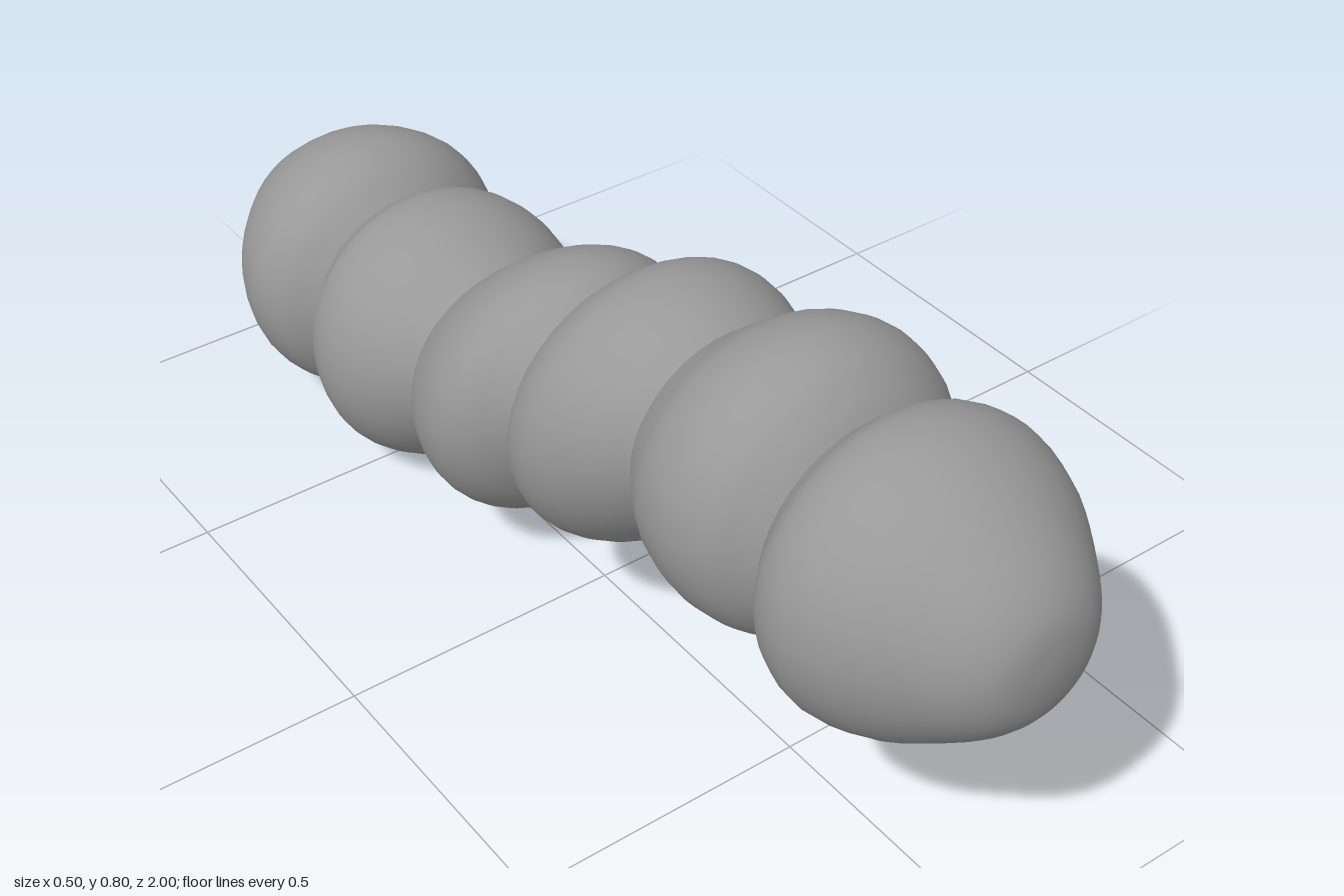
import * as THREE from 'three';
import { mergeVertices } from 'three/addons/utils/BufferGeometryUtils.js';

const SIDES = 40;
const RINGS = 24;

// Smooth bulb through upright elliptical rings: [z, top, bottom, half width], front to back
function bulbGeometry(stations) {
  const heights = new THREE.CatmullRomCurve3(
    stations.map(([z, top, bottom]) => new THREE.Vector3(z, top, bottom)), false, 'catmullrom');
  const widths = new THREE.CatmullRomCurve3(
    stations.map(([z, , , w]) => new THREE.Vector3(z, w, 0)), false, 'catmullrom');
  const positions = [];
  const index = [];
  for (let i = 0; i <= RINGS; i++) {
    const h = heights.getPoint(i / RINGS);
    const w = Math.max(0, widths.getPoint(i / RINGS).y);
    const middle = (h.y + h.z) / 2;
    const half = (h.y - h.z) / 2;
    for (let j = 0; j < SIDES; j++) {
      const a = (j / SIDES) * Math.PI * 2;
      positions.push(Math.cos(a) * w, middle + Math.sin(a) * half, h.x);
      if (i === RINGS) continue;
      const k = (j + 1) % SIDES;
      const p = i * SIDES + j, q = i * SIDES + k;
      index.push(p, p + SIDES, q, q, p + SIDES, q + SIDES);
    }
  }
  let geometry = new THREE.BufferGeometry();
  geometry.setAttribute('position', new THREE.Float32BufferAttribute(positions, 3));
  geometry.setIndex(index);
  geometry = mergeVertices(geometry, 1e-5);
  geometry.computeVertexNormals();
  return geometry;
}

export function createModel() {
  const group = new THREE.Group();
  group.name = 'segmentedBody';
  const grey = new THREE.MeshStandardMaterial({ color: 0x999999 });
  grey.name = 'grey';

  const segments = {
    // rounded front end
    frontSegment: [
      [1, 0.55, 0.55, 0], [0.99, 0.625, 0.475, 0.075], [0.96, 0.675, 0.425, 0.125],
      [0.91, 0.72, 0.38, 0.168], [0.83, 0.769, 0.325, 0.222], [0.74, 0.792, 0.296, 0.25],
      [0.67, 0.778, 0.312, 0.235], [0.63, 0.742, 0.345, 0.2], [0.615, 0.727, 0.36, 0.185]],
    secondSegment: [
      [0.615, 0.727, 0.36, 0.185], [0.595, 0.752, 0.342, 0.202], [0.55, 0.787, 0.315, 0.235],
      [0.48, 0.8, 0.305, 0.25], [0.41, 0.778, 0.317, 0.238], [0.36, 0.742, 0.333, 0.212],
      [0.31, 0.698, 0.353, 0.178]],
    // middle segments step downwards
    thirdSegment: [
      [0.31, 0.698, 0.353, 0.178], [0.27, 0.714, 0.308, 0.205], [0.2, 0.725, 0.247, 0.237],
      [0.13, 0.713, 0.21, 0.25], [0.07, 0.672, 0.2, 0.235], [0.03, 0.622, 0.205, 0.205],
      [0, 0.585, 0.222, 0.183]],
    fourthSegment: [
      [0, 0.585, 0.222, 0.183], [-0.03, 0.6, 0.178, 0.205], [-0.07, 0.606, 0.135, 0.235],
      [-0.13, 0.594, 0.096, 0.25], [-0.2, 0.555, 0.084, 0.237], [-0.27, 0.497, 0.094, 0.205],
      [-0.31, 0.455, 0.108, 0.178]],
    fifthSegment: [
      [-0.31, 0.455, 0.108, 0.178], [-0.36, 0.474, 0.063, 0.212], [-0.41, 0.491, 0.028, 0.238],
      [-0.48, 0.502, 0.002, 0.25], [-0.55, 0.492, 0.016, 0.235], [-0.595, 0.462, 0.05, 0.202],
      [-0.615, 0.448, 0.075, 0.185]],
    // rounded back end
    backSegment: [
      [-0.615, 0.448, 0.075, 0.185], [-0.63, 0.463, 0.06, 0.2], [-0.67, 0.495, 0.028, 0.235],
      [-0.74, 0.511, 0.015, 0.25], [-0.83, 0.485, 0.036, 0.222], [-0.91, 0.43, 0.092, 0.168],
      [-0.96, 0.385, 0.135, 0.125], [-0.99, 0.335, 0.185, 0.075], [-1, 0.26, 0.26, 0]],
  };

  for (const [name, stations] of Object.entries(segments)) {
    const mesh = new THREE.Mesh(bulbGeometry(stations), grey);
    mesh.name = name;
    group.add(mesh);
  }
  return group;
}
